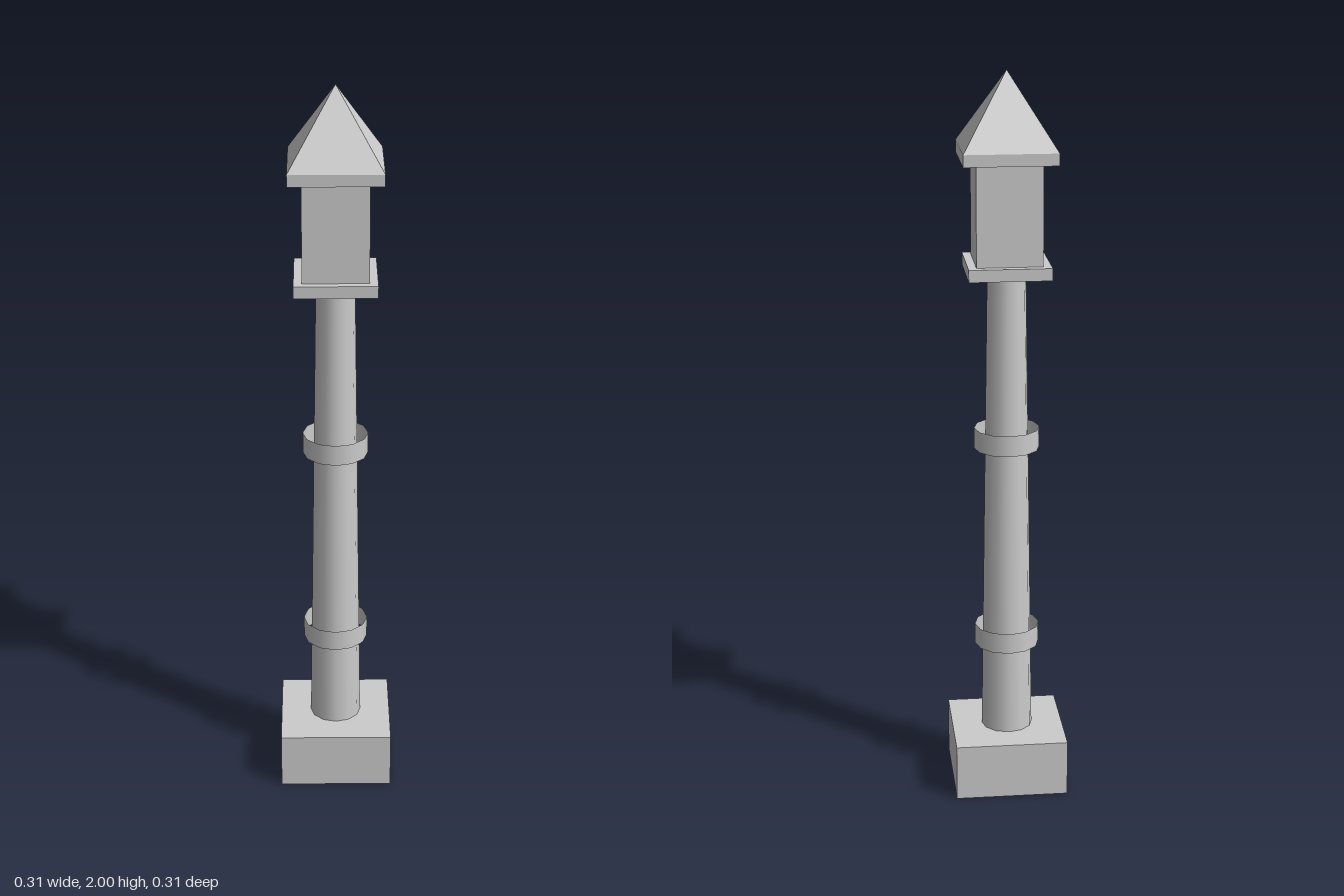
import * as THREE from 'three';

export function createModel() {
  const model = new THREE.Group();
  model.name = 'lampPost';
  const stone = new THREE.MeshStandardMaterial({ color: 0xcccccc, side: THREE.DoubleSide });
  stone.name = 'light grey';

  const add = (name, geometry, y) => {
    const mesh = new THREE.Mesh(geometry, stone);
    mesh.name = name;
    mesh.position.y = y;
    model.add(mesh);
  };
  // square block between two heights
  const block = (name, width, y0, y1) =>
    add(name, new THREE.BoxGeometry(width, y1 - y0, width), (y0 + y1) / 2);
  // open twelve-sided tube between two heights
  const tube = (name, rTop, rBottom, y0, y1) =>
    add(name, new THREE.CylinderGeometry(rTop, rBottom, y1 - y0, 12, 1, true), (y0 + y1) / 2);

  // plinth: hollow box without its bottom face
  const plinth = new THREE.BoxGeometry(0.31, 0.157, 0.31);
  const index = Array.from(plinth.index.array);
  index.splice(18, 6);
  plinth.setIndex(index);
  plinth.clearGroups();
  add('plinth', plinth, 0.0785);

  // tapering post with two collars
  tube('post', 0.052, 0.071, 0.157, 1.467);
  tube('lowerCollar', 0.089, 0.089, 0.405, 0.463);
  tube('upperCollar', 0.089, 0.089, 0.98, 1.038);

  // lantern head
  block('lanternTray', 0.22, 1.467, 1.5);
  block('lanternBody', 0.176, 1.5, 1.77);
  block('roofEave', 0.248, 1.77, 1.802);

  // pyramid roof with sharp hips
  let roof = new THREE.ConeGeometry(0.124 * Math.SQRT2, 0.198, 4, 1, true);
  roof.rotateY(Math.PI / 4);
  roof = roof.toNonIndexed();
  roof.computeVertexNormals();
  add('roof', roof, 1.901);

  return model;
}
